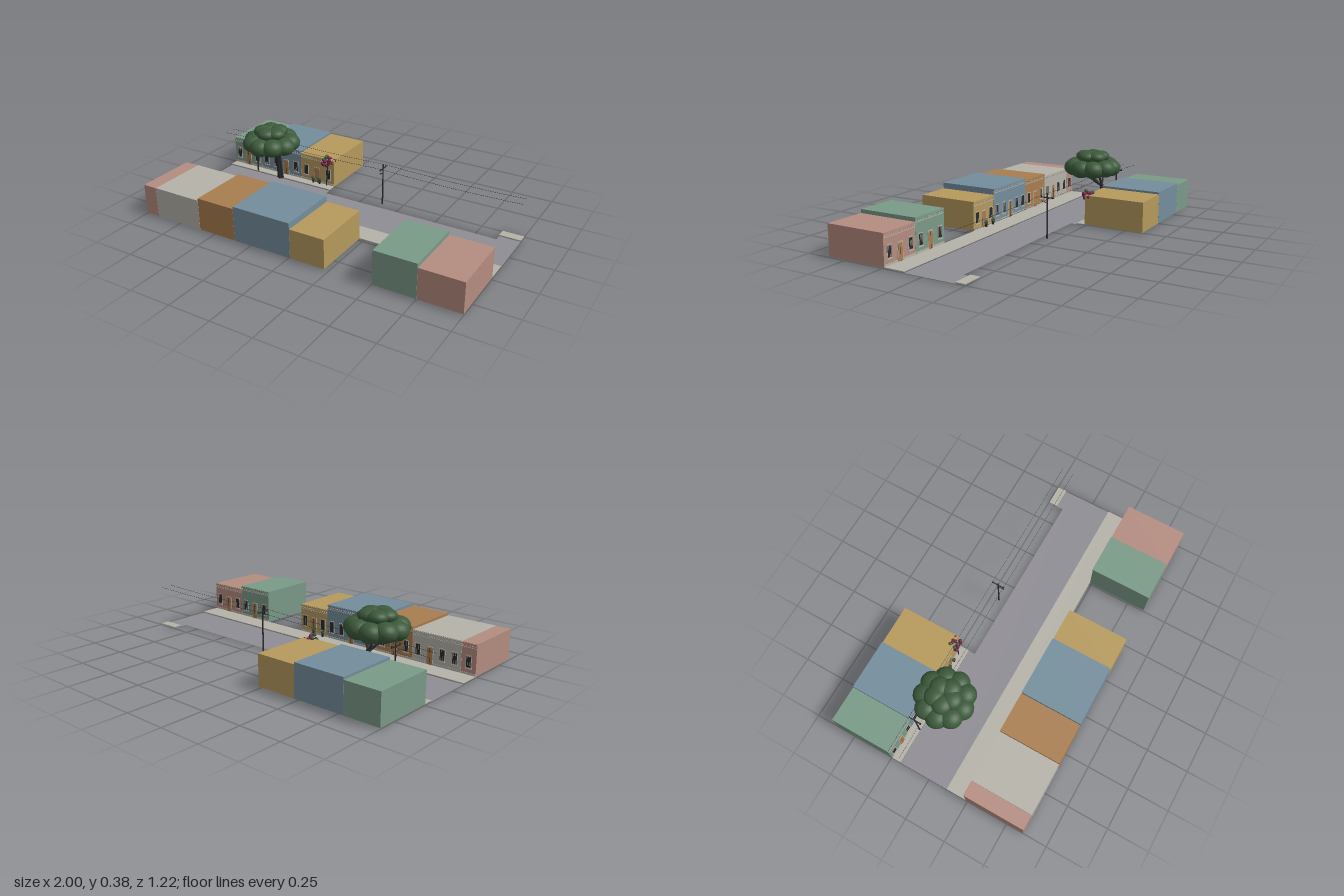
import * as THREE from 'three';

const mat = (name, color, side = THREE.FrontSide) => {
  const m = new THREE.MeshStandardMaterial({ color, side });
  m.name = name;
  return m;
};

export function createModel() {
  const D = THREE.DoubleSide;
  const M = {
    pink: mat('pink plaster', 0xb48c80, D),
    stone: mat('pale stone', 0xb5b2a8, D),
    ochre: mat('brown ochre', 0xa87d4f, D),
    blue: mat('blue plaster', 0x748d9c, D),
    yellow: mat('yellow plaster', 0xb6995c, D),
    green: mat('green plaster', 0x7a9a87, D),
    road: mat('asphalt', 0x8f8d94, D),
    leaf: mat('foliage', 0x3c5a3b),
    dark: mat('dark iron and bark', 0x2b2a2d),
    flower: mat('magenta flowers', 0x702048),
  };
  const root = new THREE.Group();
  root.name = 'street';

  const add = (parent, name, geo, material, x = 0, y = 0, z = 0) => {
    const m = new THREE.Mesh(geo, material);
    m.name = name;
    m.position.set(x, y, z);
    parent.add(m);
    return m;
  };
  const box = (parent, name, material, w, h, d, x, y, z) =>
    add(parent, name, new THREE.BoxGeometry(w, h, d), material, x, y, z);
  const group = (name) => {
    const g = new THREE.Group();
    g.name = name;
    root.add(g);
    return g;
  };
  // tapered round bar between two points
  const limb = (parent, name, material, a, b, r0, r1 = r0) => {
    const p = new THREE.Vector3(...a), q = new THREE.Vector3(...b);
    const dir = q.clone().sub(p);
    const m = add(parent, name, new THREE.CylinderGeometry(r1, r0, dir.length(), 8), material);
    m.position.copy(p).add(q).multiplyScalar(0.5);
    m.quaternion.setFromUnitVectors(new THREE.Vector3(0, 1, 0), dir.normalize());
  };
  const blobGeo = new THREE.SphereGeometry(1, 20, 14);
  const smallBlob = new THREE.SphereGeometry(1, 8, 6);
  const blob = (parent, name, geo, material, x, y, z, rx, ry = rx) =>
    add(parent, name, geo, material, x, y, z).scale.set(rx, ry, rx);

  // road and pavements
  const ground = (name, material, x0, x1, z0, z1, y) => {
    const g = new THREE.PlaneGeometry(x1 - x0, z1 - z0).rotateX(-Math.PI / 2);
    add(root, name, g, material, (x0 + x1) / 2, y, (z0 + z1) / 2);
  };
  ground('road', M.road, -1, 1, -0.15, 0.115, 0);
  ground('roadEdgeWest', M.road, -1, -0.235, -0.19, -0.15, 0);
  ground('roadEdgeEast', M.road, 0.875, 1, -0.19, -0.15, 0);
  const pave = (x0, x1, z0, z1) =>
    box(root, 'pavement', M.stone, x1 - x0, 0.004, z1 - z0, (x0 + x1) / 2, 0.006, (z0 + z1) / 2);
  pave(-1, 1, 0.115, 0.237);
  pave(-1, -0.235, -0.245, -0.19);
  pave(0.875, 1, -0.245, -0.19);

  // hollow house with an open base; the facade faces the street (dir = +1 or -1 in z)
  const BASE = 0.005, DEPTH = 0.367;
  const house = (name, material, x0, x1, top, facadeZ, dir) => {
    const g = group(name);
    const w = x1 - x0, cx = (x0 + x1) / 2, h = top - BASE;
    const shell = new THREE.BoxGeometry(w - 0.001, h, DEPTH);
    const idx = Array.from(shell.index.array);
    idx.splice(18, 6);
    shell.setIndex(idx);
    shell.clearGroups();
    add(g, 'walls', shell, material, cx, BASE + h / 2, facadeZ - dir * DEPTH / 2);

    const plate = (label, m, pw, ph, x, y, d) =>
      box(g, label, m, pw, ph, d, x, y, facadeZ + dir * 0.0005);
    // cornice, dentils and plinth
    plate('cornice', material, w - 0.002, 0.006, cx, top - 0.005, 0.007);
    plate('stringCourse', M.stone, w - 0.002, 0.003, cx, top - 0.026, 0.004);
    const teeth = Math.floor(w / 0.016);
    for (let i = 0; i < teeth; i++)
      plate('dentil', M.stone, 0.006, 0.006, x0 + (i + 0.5) * w / teeth, top - 0.017, 0.005);
    plate('plinth', M.stone, w - 0.002, 0.014, cx, BASE + 0.007, 0.003);

    // bays of barred windows around a door
    const bays = Math.max(1, Math.round(w / 0.078));
    for (let i = 0; i < bays; i++) {
      const x = x0 + (i + 0.5) * w / bays;
      if (bays > 1 && i === Math.floor(bays / 2)) {
        plate('doorFrame', M.stone, 0.042, 0.106, x, BASE + 0.053, 0.004);
        plate('door', M.ochre, 0.034, 0.1, x, BASE + 0.05, 0.007);
        plate('doorSeam', M.dark, 0.0015, 0.1, x, BASE + 0.05, 0.008);
      } else {
        plate('windowFrame', M.stone, 0.036, 0.072, x, 0.08, 0.004);
        plate('windowGlass', M.dark, 0.027, 0.062, x, 0.08, 0.006);
        plate('windowSill', M.stone, 0.04, 0.004, x, 0.042, 0.009);
        for (const s of [-1, 1]) plate('windowBar', M.stone, 0.001, 0.062, x + s * 0.006, 0.08, 0.007);
      }
    }
  };
  const F = 0.238, B = -0.243;
  house('frontHousePinkWest', M.pink, -1, -0.91, 0.185, F, -1);
  house('frontHouseStone', M.stone, -0.91, -0.6, 0.186, F, -1);
  house('frontHouseOchre', M.ochre, -0.6, -0.355, 0.2, F, -1);
  house('frontHouseBlue', M.blue, -0.355, 0.012, 0.214, F, -1);
  house('frontHouseYellow', M.yellow, 0.012, 0.225, 0.179, F, -1);
  house('frontHouseGreen', M.green, 0.505, 0.752, 0.205, F, -1);
  house('frontHousePinkEast', M.pink, 0.752, 1, 0.183, F, -1);
  house('backHouseGreen', M.green, -1, -0.785, 0.182, B, 1);
  house('backHouseBlue', M.blue, -0.785, -0.48, 0.195, B, 1);
  house('backHouseYellow', M.yellow, -0.48, -0.235, 0.183, B, 1);

  // spreading tree
  const tree = group('tree');
  const TX = -0.605, TZ = -0.108;
  for (let i = 0; i < 3; i++)
    limb(tree, 'trunk', M.dark, [TX + (i - 1) * 0.012, 0.004, -0.19 + (i % 2) * 0.008],
      [TX + (i - 1) * 0.008, 0.175, -0.178 + (i % 2) * 0.008], 0.011, 0.007);
  for (let i = 0; i < 6; i++) {
    const a = i * Math.PI / 3;
    limb(tree, 'branch', M.dark, [TX, 0.165, -0.176],
      [TX + 0.075 * Math.cos(a), 0.255, TZ + 0.075 * Math.sin(a)], 0.007, 0.004);
  }
  blob(tree, 'canopyCore', blobGeo, M.leaf, TX, 0.295, TZ, 0.095, 0.055);
  for (let i = 0; i < 9; i++) {
    const a = i * Math.PI * 2 / 9 + 0.2;
    blob(tree, 'canopyLower', blobGeo, M.leaf, TX + 0.113 * Math.cos(a), 0.28 + 0.004 * (i % 2),
      TZ + 0.113 * Math.sin(a), 0.066, 0.054);
  }
  for (let i = 0; i < 5; i++) {
    const a = i * Math.PI * 2 / 5 + 0.3;
    blob(tree, 'canopyUpper', blobGeo, M.leaf, TX + 0.05 * Math.cos(a), 0.349,
      TZ + 0.05 * Math.sin(a), 0.058, 0.036);
  }

  // utility poles with crossarms, insulators and a lamp bracket
  const poleX = [-0.785, 0.135], PZ = -0.195;
  for (const x of poleX) {
    const p = group('utilityPole');
    limb(p, 'post', M.dark, [x, 0.004, PZ], [x, 0.264, PZ], 0.005, 0.0035);
    box(p, 'crossarm', M.dark, 0.005, 0.005, 0.08, x, 0.238, PZ);
    for (const s of [-1, 1]) box(p, 'insulator', M.dark, 0.004, 0.008, 0.004, x, 0.244, PZ + s * 0.036);
    limb(p, 'lampArm', M.dark, [x, 0.205, PZ], [x, 0.218, PZ + 0.03], 0.002);
    blob(p, 'lamp', smallBlob, M.dark, x, 0.216, PZ + 0.032, 0.005, 0.003);
  }

  // sagging wires between the poles and off both ends
  const SPAN = poleX[1] - poleX[0];
  for (const s of [-1, 1]) {
    const pts = [];
    for (let i = 0; i <= 40; i++) {
      const x = -1 + i / 20;
      const t = ((x - poleX[0]) / SPAN + 2) % 1;
      pts.push(new THREE.Vector3(x, 0.248 - 0.04 * t * (1 - t), PZ + s * 0.036));
    }
    add(root, 'wire', new THREE.TubeGeometry(new THREE.CatmullRomCurve3(pts), 80, 0.0008, 5), M.dark);
  }

  // flowering climber on the back yellow house
  const vine = group('floweringClimber');
  limb(vine, 'vineStem', M.dark, [-0.285, 0.004, -0.232], [-0.275, 0.15, -0.236], 0.004, 0.003);
  for (let i = 0; i < 22; i++) {
    const a = i * 2.4, r = 0.038 * Math.sqrt((i + 0.5) / 22);
    blob(vine, i % 5 === 4 ? 'vineLeaves' : 'blossom', smallBlob, i % 5 === 4 ? M.leaf : M.flower,
      -0.28 + r * Math.cos(a), 0.17 + 0.85 * r * Math.sin(a), -0.243 + 0.022 * Math.sin(i * 1.7), 0.011);
  }

  // potted plants by the doors
  for (const [x, z] of [[0.04, 0.226], [0.112, 0.226], [-0.38, -0.23], [-0.335, -0.232]]) {
    const p = group('pottedPlant');
    add(p, 'pot', new THREE.CylinderGeometry(0.009, 0.006, 0.018, 10), M.dark, x, 0.017, z);
    for (let i = 0; i < 5; i++) {
      const a = i * 1.257;
      blob(p, 'potLeaves', smallBlob, M.leaf, x + 0.007 * Math.cos(a), 0.034 + 0.005 * (i % 3),
        z + 0.005 * Math.sin(a), 0.006, 0.008);
    }
  }
  return root;
}
